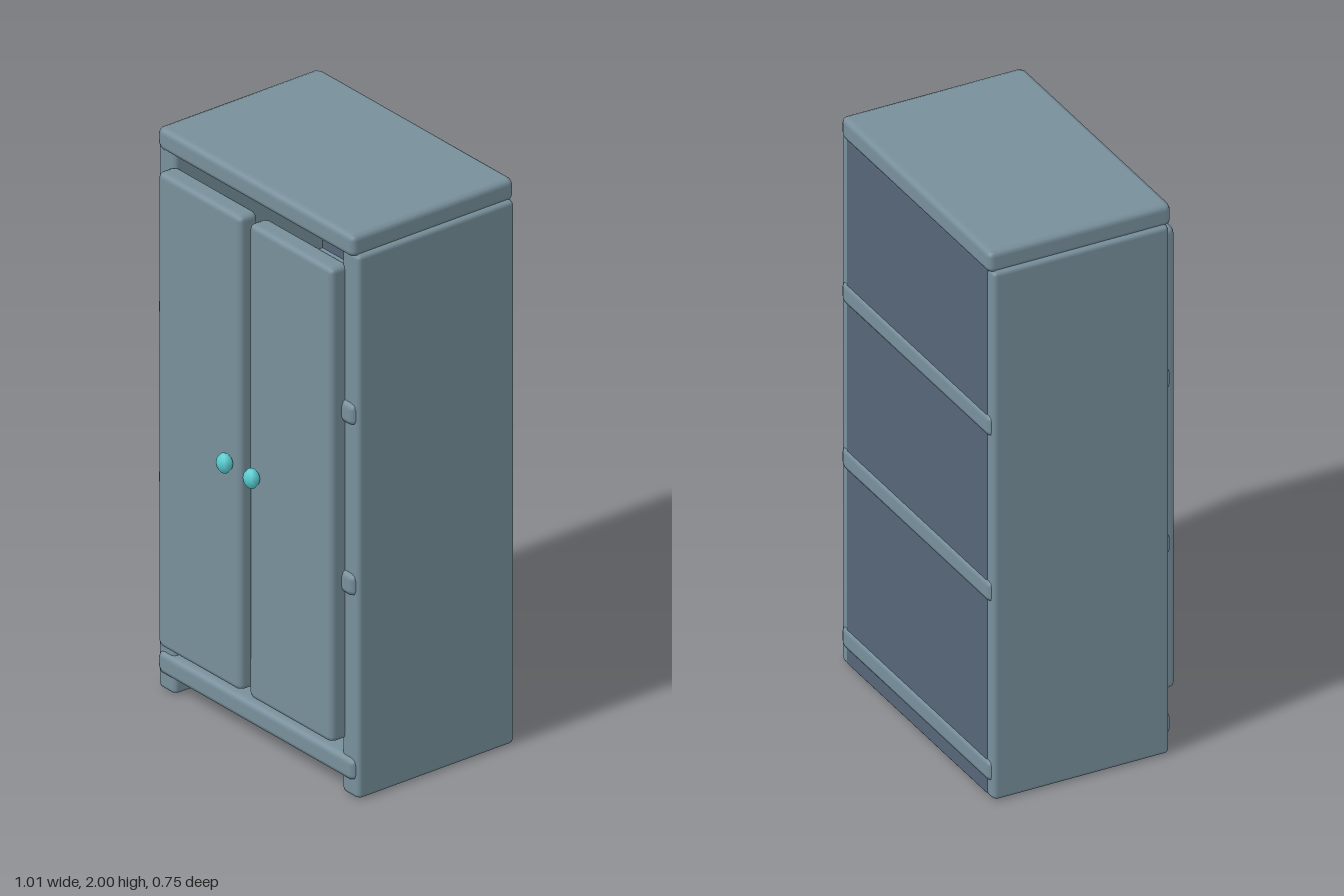
import * as THREE from 'three';
import { RoundedBoxGeometry } from 'three/addons/geometries/RoundedBoxGeometry.js';

export function createModel() {
  const model = new THREE.Group();
  model.name = 'wardrobe';

  const material = (name, color) => {
    const m = new THREE.MeshStandardMaterial({ color });
    m.name = name;
    return m;
  };
  const body = material('blue grey', 0x78909c);
  const panel = material('dark slate', 0x566678);
  const teal = material('teal', 0x58ccd0);

  // Bevelled box given by its extents on each axis
  function board(name, mat, [x0, x1], [y0, y1], [z0, z1], bevel) {
    const geo = new RoundedBoxGeometry(x1 - x0, y1 - y0, z1 - z0, 1, bevel);
    const mesh = new THREE.Mesh(geo, mat);
    mesh.position.set((x0 + x1) / 2, (y0 + y1) / 2, (z0 + z1) / 2);
    mesh.name = name;
    model.add(mesh);
  }

  // Carcass: top slab, shelves and back
  const width = [-0.495, 0.495];
  const depth = [-0.375, 0.283];
  board('top', body, width, [1.92, 2], depth, 0.022);
  board('bottomShelf', body, width, [0.06, 0.14], depth, 0.022);
  board('lowerShelf', body, width, [0.715, 0.795], depth, 0.022);
  board('upperShelf', body, width, [1.32, 1.4], depth, 0.022);
  board('backPanel', panel, [-0.465, 0.465], [0.008, 1.925], [-0.368, -0.33], 0.006);

  // Sides, doors and knobs, mirrored
  for (const s of [-1, 1]) {
    const side = s > 0 ? 'left' : 'right';
    const span = (a, b) => (s > 0 ? [a, b] : [-b, -a]);
    board(side + 'Side', body, span(0.42, 0.507), [0, 1.93], [-0.365, 0.268], 0.016);
    board(side + 'Door', body, span(0.02, 0.44), [0.19, 1.875], [0.25, 0.325], 0.02);

    const knob = new THREE.Mesh(new THREE.SphereGeometry(1, 8, 6), teal);
    knob.scale.set(0.03, 0.035, 0.026);
    knob.position.set(s * 0.068, 0.995, 0.35);
    knob.name = side + 'Knob';
    model.add(knob);
  }

  return model;
}
